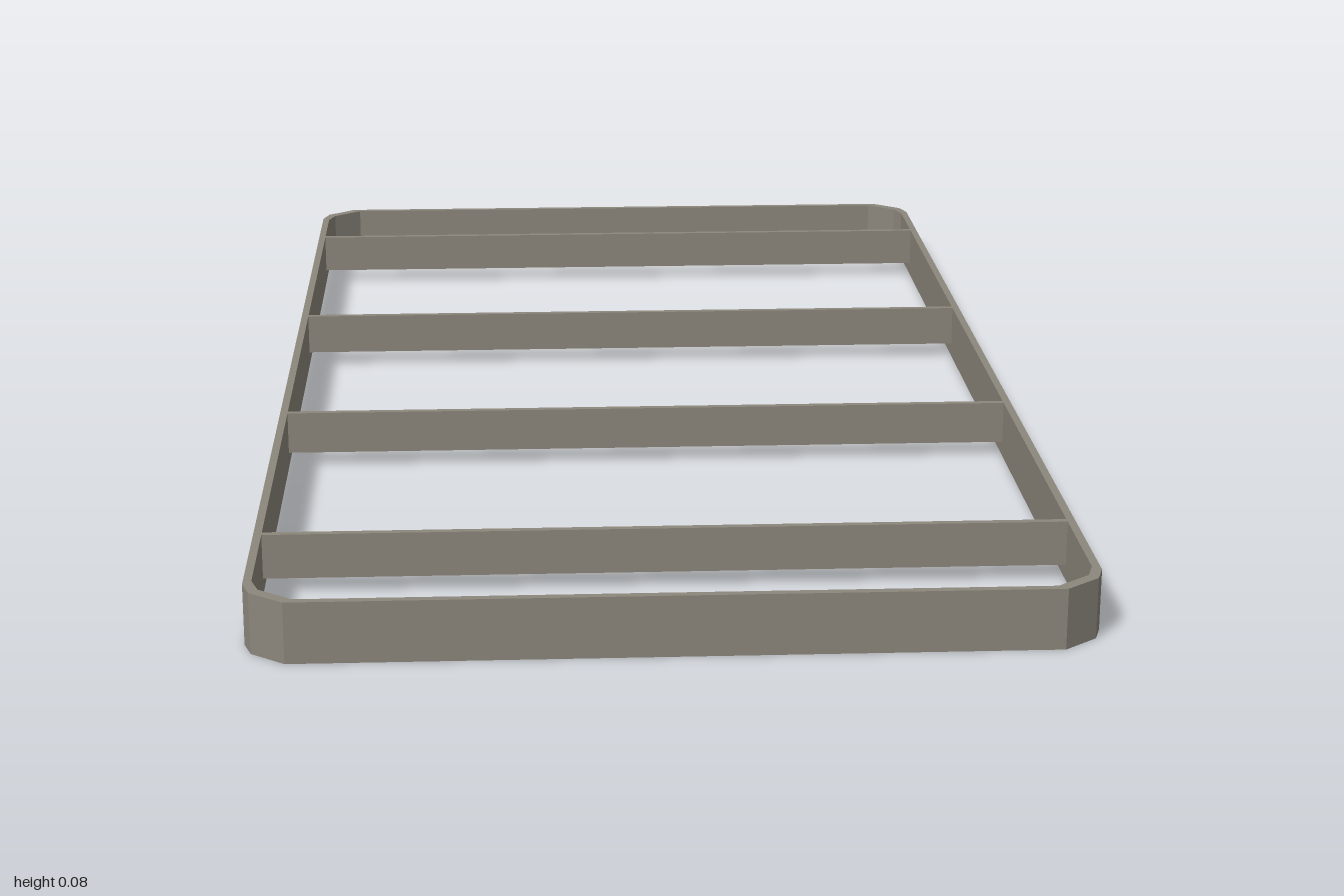
import * as THREE from 'three';

const HEIGHT = 0.083, WALL = 0.011;

// Rectangle with faceted corners, as a list of points
function outline(inset) {
  const corner = [[0.55, 0.935], [0.54, 0.965], [0.495, 1]]
    .map(([x, z]) => [x - inset, z - inset]);
  const back = [...corner].reverse();
  return [
    ...corner,
    ...back.map(([x, z]) => [-x, z]),
    ...corner.map(([x, z]) => [-x, -z]),
    ...back.map(([x, z]) => [x, -z]),
  ].map(([x, z]) => new THREE.Vector2(x, z));
}

export function createModel() {
  const model = new THREE.Group();
  model.name = 'rackFrame';
  const metal = new THREE.MeshStandardMaterial({ color: 0x8c877c, flatShading: true });
  metal.name = 'warm grey metal';

  // Outer band, an extruded ring
  const ring = new THREE.Shape(outline(0));
  ring.holes.push(new THREE.Path(outline(WALL)));
  const bandGeometry = new THREE.ExtrudeGeometry(ring, { depth: HEIGHT, bevelEnabled: false });
  bandGeometry.rotateX(-Math.PI / 2);
  const band = new THREE.Mesh(bandGeometry, metal);
  band.name = 'outerBand';
  model.add(band);

  // Evenly spaced crossbars, flush with the top of the band
  const barHeight = 0.062;
  const barGeometry = new THREE.BoxGeometry(1.1 - 2 * WALL, barHeight, 0.01);
  for (let i = 0; i < 4; i++) {
    const bar = new THREE.Mesh(barGeometry, metal);
    bar.name = `crossbar${i + 1}`;
    bar.position.set(0, HEIGHT - barHeight / 2, -0.8 + i * 0.5175);
    model.add(bar);
  }
  return model;
}
